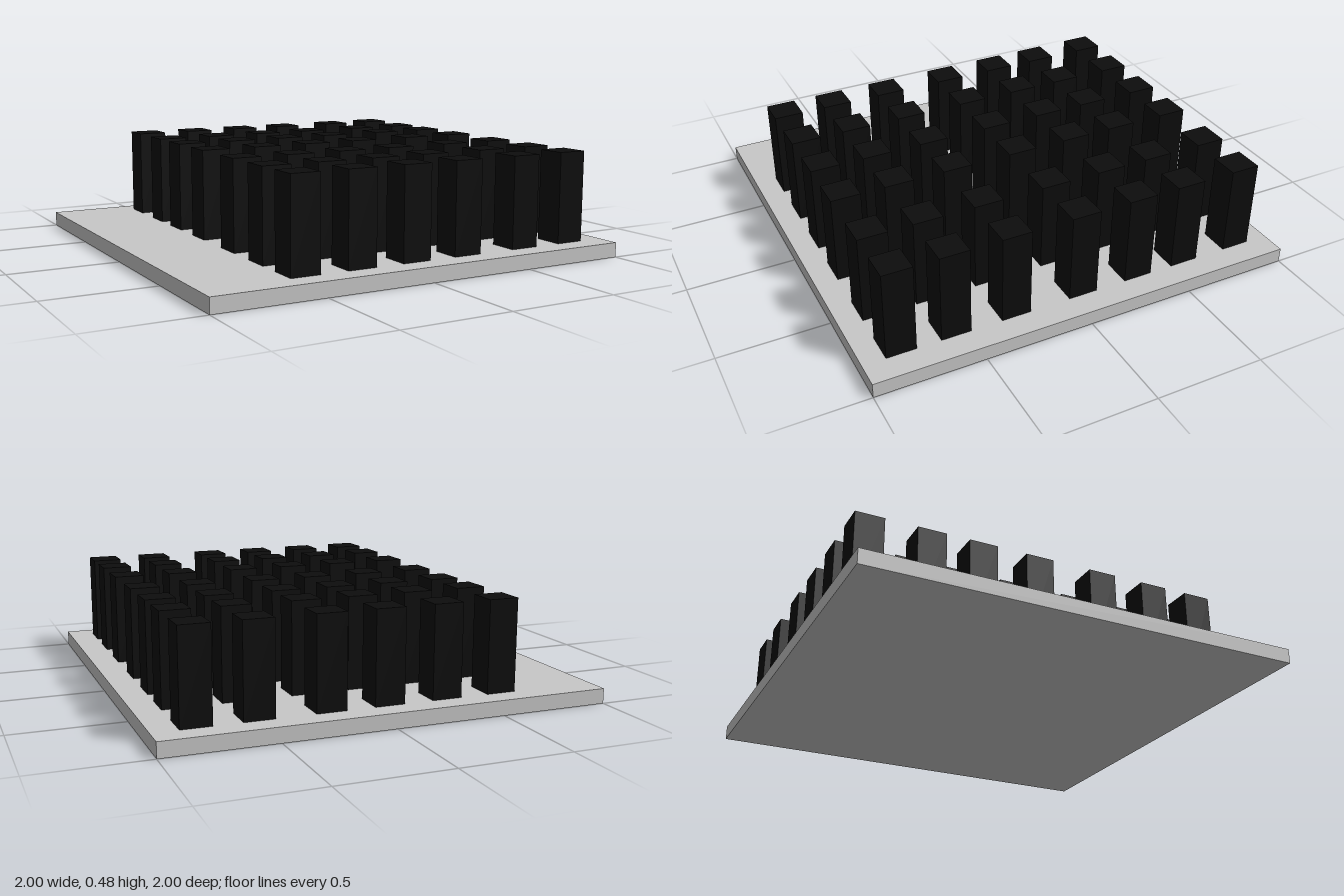
import * as THREE from 'three';

const BASE_HEIGHT = 0.068;
const TOP = 0.482;
const WIDTH = 0.135;

// Centres of the columns (x) and rows (z) of posts
const COLUMNS = [-0.543, -0.281, -0.015, 0.246, 0.556, 0.816];
const ROWS = [-0.828, -0.543, -0.299, -0.02, 0.305, 0.584, 0.829];

export function createModel() {
  const model = new THREE.Group();
  model.name = 'postGrid';

  const lightGrey = new THREE.MeshStandardMaterial({ color: 0xc8c8c8 });
  lightGrey.name = 'light grey';
  const black = new THREE.MeshStandardMaterial({ color: 0x0d0d0d });
  black.name = 'black';

  // Square base plate
  const base = new THREE.Mesh(new THREE.BoxGeometry(2, BASE_HEIGHT, 2), lightGrey);
  base.name = 'basePlate';
  base.position.y = BASE_HEIGHT / 2;
  model.add(base);

  // Upright posts standing on the plate
  const posts = new THREE.Group();
  posts.name = 'posts';
  const height = TOP - BASE_HEIGHT;
  const postGeometry = new THREE.BoxGeometry(WIDTH, height, WIDTH);
  for (const z of ROWS) {
    for (const x of COLUMNS) {
      const post = new THREE.Mesh(postGeometry, black);
      post.name = 'post';
      post.position.set(x, BASE_HEIGHT + height / 2, z);
      posts.add(post);
    }
  }
  model.add(posts);

  return model;
}
